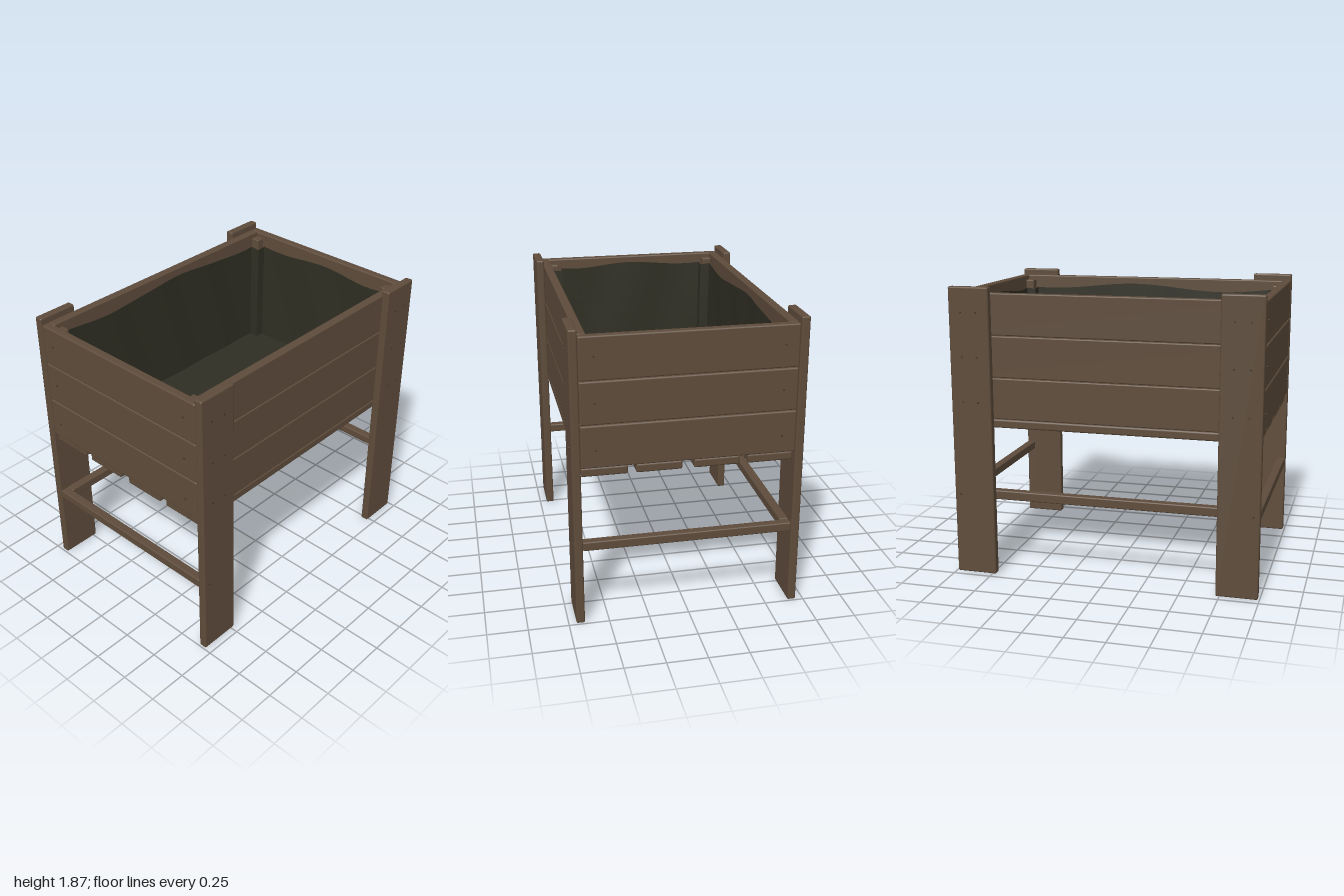
import * as THREE from 'three';
import { toCreasedNormals } from 'three/addons/utils/BufferGeometryUtils.js';
import { RoundedBoxGeometry } from 'three/addons/geometries/RoundedBoxGeometry.js';

const wood = new THREE.MeshStandardMaterial({ color: 0x5e4c3b });
wood.name = 'brown wood';
const screwMetal = new THREE.MeshStandardMaterial({ color: 0x42362b });
screwMetal.name = 'dark screw';
const fabric = new THREE.MeshStandardMaterial({ color: 0x2e2e23, side: THREE.DoubleSide });
fabric.name = 'liner fabric';

// A softly rounded board given by its extents on each axis
function board(parent, name, [x0, x1], [y0, y1], [z0, z1], r = 0.008) {
  const geo = new RoundedBoxGeometry(x1 - x0, y1 - y0, z1 - z0, 2, r);
  const mesh = new THREE.Mesh(geo, wood);
  mesh.position.set((x0 + x1) / 2, (y0 + y1) / 2, (z0 + z1) / 2);
  mesh.name = name;
  parent.add(mesh);
}

const span = (s, a, b) => (s > 0 ? [a, b] : [-b, -a]);

// Liner outline: a rectangle stepping inwards around the four corner posts
function linerOutline() {
  const a = 0.922, b = 0.58, p = 0.86, q = 0.515;
  const corners = [
    [a, -q], [a, q], [p, q], [p, b], [-p, b], [-p, q], [-a, q],
    [-a, -q], [-p, -q], [-p, -b], [p, -b], [p, -q],
  ];
  const points = [];
  corners.forEach(([x, z], i) => {
    const [nx, nz] = corners[(i + 1) % corners.length];
    const steps = Math.max(2, Math.round(Math.hypot(nx - x, nz - z) / 0.07));
    for (let k = 0; k < steps; k++) {
      points.push([x + ((nx - x) * k) / steps, z + ((nz - z) * k) / steps]);
    }
  });
  return points;
}

function makeLiner() {
  const liner = new THREE.Group();
  liner.name = 'liner';
  const outline = linerOutline();
  const n = outline.length, rows = 6, floorY = 1.045;
  const positions = [], index = [];
  // Walls lean slightly inwards at the foot, with shallow folds and a wavy rim
  const place = (x, z, t) => {
    const lean = 1 - 0.02 * (1 - t);
    const fold = 1 - 0.005 * (1 + Math.sin(14 * x + 11 * z + 3 * t));
    const rim = 1.765 + 0.022 * Math.sin(5 * x + 1) + 0.015 * Math.cos(8 * z);
    return [x * lean * fold, floorY + (rim - floorY) * t, z * lean * fold];
  };
  for (let j = 0; j <= rows; j++) {
    for (const [x, z] of outline) positions.push(...place(x, z, j / rows));
  }
  for (let j = 0; j < rows; j++) {
    for (let i = 0; i < n; i++) {
      const a = j * n + i, b = j * n + ((i + 1) % n);
      index.push(a, b, a + n, b, b + n, a + n);
    }
  }
  const geo = new THREE.BufferGeometry();
  geo.setAttribute('position', new THREE.Float32BufferAttribute(positions, 3));
  geo.setIndex(index);
  const walls = new THREE.Mesh(toCreasedNormals(geo, 0.8), fabric);
  walls.name = 'linerWalls';

  // Floor cut to the foot of the walls
  const foot = outline.map(([x, z]) => {
    const v = place(x, z, 0);
    return new THREE.Vector2(v[0], -v[2]);
  });
  const floor = new THREE.Mesh(new THREE.ShapeGeometry(new THREE.Shape(foot)), fabric);
  floor.rotation.x = -Math.PI / 2;
  floor.position.y = floorY;
  floor.name = 'linerFloor';
  liner.add(walls, floor);
  return liner;
}

export function createModel() {
  const model = new THREE.Group();
  model.name = 'raisedPlanter';

  // Four flat legs, outside the long walls
  for (const sx of [1, -1]) {
    for (const sz of [1, -1]) {
      board(model, 'leg', span(sx, 0.725, 0.99), [0, 1.87], span(sz, 0.65, 0.703), 0.01);
    }
  }

  // Three boards high on all four walls
  for (let i = 0; i < 3; i++) {
    const y = [1.03 + i * 0.268, 1.294 + i * 0.268];
    for (const s of [1, -1]) {
      board(model, 'longWallBoard', [-0.935, 0.935], y, span(s, 0.594, 0.65));
      board(model, 'endWallBoard', span(s, 0.932, 0.987), y, [-0.648, 0.648], 0.01);
    }
  }

  // Corner posts inside the box
  for (const sx of [1, -1]) {
    for (const sz of [1, -1]) {
      board(model, 'cornerPost', span(sx, 0.872, 0.932), [1.03, 1.8], span(sz, 0.532, 0.594));
    }
  }

  // Floor slats with gaps between them
  for (const z of [0.508, 0.18, -0.17, -0.5]) {
    board(model, 'floorSlat', [-0.97, 0.97], [0.97, 1.026], [z - 0.14, z + 0.14], 0.012);
  }

  // Lower rails: one at each end and one along the back
  for (const s of [1, -1]) {
    board(model, 'endRail', span(s, 0.93, 0.987), [0.492, 0.55], [-0.65, 0.65]);
  }
  board(model, 'backRail', [-0.932, 0.932], [0.495, 0.555], [-0.648, -0.59]);

  model.add(makeLiner());

  // Screw heads on the legs and the end boards
  const screwGeo = new THREE.CylinderGeometry(0.006, 0.006, 0.008, 8);
  const screw = (x, y, z, axis) => {
    const mesh = new THREE.Mesh(screwGeo, screwMetal);
    mesh.position.set(x, y, z);
    mesh.rotation[axis] = Math.PI / 2;
    mesh.name = 'screw';
    model.add(mesh);
  };
  for (const sx of [1, -1]) {
    for (const sz of [1, -1]) {
      for (const y of [1.14, 1.43, 1.71]) {
        for (const x of [0.81, 0.91]) screw(sx * x, y, sz * 0.704, 'x');
        screw(sx * 0.988, y, sz * 0.56, 'z');
      }
      screw(sx * 0.95, 0.53, sz * 0.704, 'x');
    }
  }
  return model;
}
